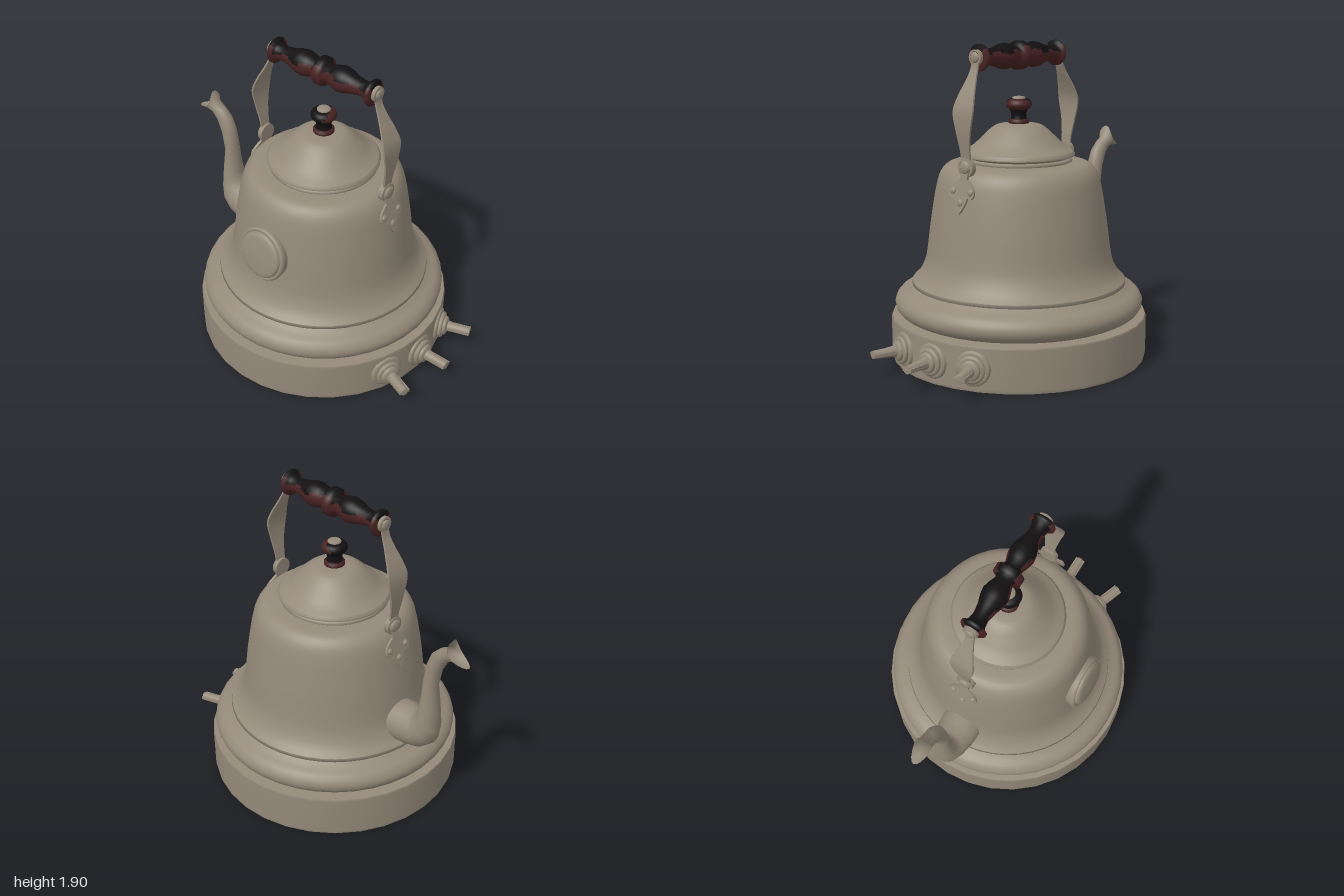
import * as THREE from 'three';
import { mergeGeometries, toCreasedNormals } from 'three/addons/utils/BufferGeometryUtils.js';

const metal = new THREE.MeshStandardMaterial({ color: 0x948979, side: THREE.DoubleSide });
metal.name = 'warm grey metal';
const wood = new THREE.MeshStandardMaterial({ color: 0x482222 });
wood.name = 'dark red wood';
const black = new THREE.MeshStandardMaterial({ color: 0x121010 });
black.name = 'black lacquer';

const V2 = (p) => p.map(([r, y]) => new THREE.Vector2(r, y));

// Each section is turned separately, so edges between sections stay sharp
const turned = (sections, sides = 32) =>
  mergeGeometries(sections.map((s) => new THREE.LatheGeometry(V2(s), sides)));

// Rounds off a list of profile points
const smooth = (pts, n) => new THREE.SplineCurve(V2(pts)).getPoints(n).map((p) => [Math.max(p.x, 0), p.y]);

function add(parent, name, geometry, material = metal) {
  const mesh = new THREE.Mesh(geometry, material);
  mesh.name = name;
  parent.add(mesh);
  return mesh;
}

// Skins closed rings of points
function loft(rings, capped = false) {
  const n = rings[0].length, index = [];
  for (let i = 0; i < rings.length - 1; i++)
    for (let j = 0; j < n; j++) {
      const a = i * n + j, b = i * n + (j + 1) % n;
      index.push(a, b, a + n, b, b + n, a + n);
    }
  if (capped) {
    const e = (rings.length - 1) * n;
    for (let j = 1; j < n - 1; j++) index.push(0, j + 1, j, e, e + j, e + j + 1);
  }
  const g = new THREE.BufferGeometry();
  g.setAttribute('position', new THREE.Float32BufferAttribute(rings.flat(2), 3));
  g.setIndex(index);
  g.computeVertexNormals();
  return g;
}

// Sorts triangles into two colour groups by a rule on their centre
function twoTone(g, isSecond) {
  const p = g.attributes.position, idx = g.index.array, lists = [[], []];
  for (let i = 0; i < idx.length; i += 3) {
    const t = [idx[i], idx[i + 1], idx[i + 2]];
    const mid = (get) => t.reduce((s, v) => s + get(v), 0) / 3;
    const second = isSecond(mid((v) => p.getX(v)), mid((v) => p.getY(v)), mid((v) => p.getZ(v)));
    lists[second ? 1 : 0].push(...t);
  }
  g.setIndex([...lists[0], ...lists[1]]);
  g.addGroup(0, lists[0].length, 0);
  g.addGroup(lists[0].length, lists[1].length, 1);
  return g;
}

function makeSpout() {
  // outer x, y, inner x, y, half width
  const rows = [
    [-.48, .45, -.44, .70, .13], [-.62, .455, -.58, .70, .125], [-.72, .48, -.64, .695, .11],
    [-.79, .54, -.675, .72, .095], [-.81, .63, -.685, .78, .08], [-.80, .80, -.695, .86, .063],
    [-.785, .93, -.70, .97, .05], [-.81, 1.06, -.715, 1.08, .048], [-.85, 1.14, -.745, 1.16, .045],
    [-.89, 1.175, -.80, 1.215, .042], [-.93, 1.18, -.85, 1.245, .046], [-1, 1.175, -.885, 1.31, .052],
  ];
  const rings = rows.map(([ax, ay, bx, by, w], i) => {
    const dip = i === rows.length - 1 ? 1 : 0;
    return Array.from({ length: 20 }, (_, j) => {
      const t = j / 20 * Math.PI * 2, c = Math.cos(t), s = Math.sin(t);
      return [(ax + bx) / 2 + c * (ax - bx) / 2 + dip * .05 * s * s,
        (ay + by) / 2 + c * (ay - by) / 2 - dip * .015 * s * s, s * w];
    });
  });
  return loft(rings);
}

function makeHandleSide() {
  const side = new THREE.Group();
  // Bent strap: distance from the axis, height, half width
  const path = new THREE.CatmullRomCurve3([
    [.465, 1.19, .035], [.475, 1.28, .034], [.492, 1.4, .052], [.492, 1.52, .074], [.465, 1.6, .06],
    [.42, 1.69, .036], [.39, 1.76, .026], [.383, 1.83, .032],
  ].map((p) => new THREE.Vector3(...p)));
  const rings = path.getPoints(28).map(({ x, y, z }) =>
    [[1, 1], [-1, 1], [-1, -1], [1, -1]].map(([w, d]) => [x + d * .006, y, w * z]));
  add(side, 'handleStrap', toCreasedNormals(loft(rings, true), .7));

  // Leaf shaped mounting plate with rivets
  const leaf = new THREE.Shape();
  leaf.moveTo(-.03, .03);
  leaf.lineTo(-.025, -.07);
  leaf.bezierCurveTo(-.06, -.09, -.1, -.12, -.09, -.16);
  leaf.bezierCurveTo(-.08, -.19, -.05, -.17, -.045, -.18);
  leaf.quadraticCurveTo(-.04, -.22, 0, -.27);
  leaf.quadraticCurveTo(.04, -.22, .045, -.18);
  leaf.bezierCurveTo(.05, -.17, .08, -.19, .09, -.16);
  leaf.bezierCurveTo(.1, -.12, .06, -.09, .025, -.07);
  leaf.lineTo(.03, .03);
  const mount = new THREE.Group();
  mount.name = 'handleMount';
  mount.position.set(.465, 1.2, 0);
  mount.rotation.z = .23;
  side.add(mount);
  const plate = new THREE.ExtrudeGeometry(leaf, { depth: .014, bevelEnabled: false, curveSegments: 6 });
  add(mount, 'mountPlate', plate.rotateY(Math.PI / 2));
  for (const [y, z] of [[-.14, .065], [-.14, -.065], [-.205, 0]]) {
    const rivet = add(mount, 'rivet', new THREE.SphereGeometry(.02, 12, 8));
    rivet.scale.x = .6;
    rivet.position.set(.014, y, z);
  }

  // Pivot discs at both ends of the strap
  const disc = (r, t) => turned([[[0, -t], [r, -t]], [[r, -t], [r, t * .5]],
    [[r, t * .5], [r * .75, t * .6]], smooth([[r * .7, t * .6], [r * .5, t * 1.2], [0, t * 1.4]], 6)], 20).rotateZ(-Math.PI / 2);
  add(side, 'lowerPivot', disc(.056, .021)).position.set(.47, 1.2, 0);
  add(side, 'upperPivot', disc(.045, .016)).position.set(.383, 1.815, 0);
  return side;
}

export function createModel() {
  const model = new THREE.Group();
  const pot = new THREE.Group();
  pot.name = 'kettle';
  pot.position.x = .025;
  model.add(pot);

  // Stove base and kettle body
  add(pot, 'base', turned([
    [[0, 0], [.77, 0]], [[.77, 0], [.775, .02], [.775, .25], [.77, .262]], [[.77, .262], [.69, .267]],
  ]));
  add(pot, 'bulge', turned([smooth([[.69, .265], [.725, .285], [.748, .32], [.748, .36], [.72, .40],
    [.675, .425], [.64, .45]], 18)], 40));
  add(pot, 'body', turned([
    [[.63, .445], [.648, .45], [.645, .47]],
    smooth([[.645, .47], [.602, .515], [.567, .59], [.55, .68], [.535, .8], [.515, .93], [.495, 1.04],
      [.475, 1.11], [.445, 1.155], [.40, 1.18], [.31, 1.187]], 30),
  ], 48));

  // Lid
  add(pot, 'lid', turned([
    [[.31, 1.18], [.322, 1.19], [.318, 1.205], [.30, 1.208]],
    [[.30, 1.208], [.335, 1.222]], [[.335, 1.222], [.337, 1.232], [.325, 1.248]],
    smooth([[.325, 1.248], [.27, 1.283], [.21, 1.34], [.16, 1.385], [.11, 1.407], [0, 1.413]], 20),
  ], 40));
  const knob = turned([
    [[.05, 1.405], [.062, 1.412], [.062, 1.43], [.048, 1.437]],
    smooth([[.048, 1.437], [.045, 1.46], [.052, 1.488], [.074, 1.51], [.076, 1.53], [.058, 1.553], [0, 1.56]], 20),
  ], 24);
  twoTone(knob, (x, y, z) => y > 1.437 && (y < 1.495 || x - z * .6 < .02 + .02 * Math.sin(y * 90)));
  add(pot, 'lidKnob', knob, [wood, black]);
  add(pot, 'knobCap', turned([smooth([[.04, 1.553], [.036, 1.567], [0, 1.573]], 6)], 16));

  // Spout
  add(pot, 'spout', makeSpout()).position.x = -.025;

  // Turned grip, black on its upper side
  const half = [[.02, .085], [.028, .062], [.05, .053], [.09, .067], [.13, .077], [.17, .072],
    [.22, .056], [.28, .045], [.32, .05], [.337, .06], [.345, .077], [.358, .078], [.37, .066], [.372, 0]];
  const profile = [...half.slice().reverse().map(([x, r]) => [r, -x]), ...half.map(([x, r]) => [r, x])];
  const grip = new THREE.LatheGeometry(V2(profile), 48).rotateZ(-Math.PI / 2);
  twoTone(grip, (x, y, z) => {
    const angle = Math.abs(Math.atan2(z, y)), a = Math.abs(x);
    if (a > .335 || a < .028) return angle < .75;
    return angle < 1.12 + .25 * Math.cos(a * 38) + (x < 0 ? .12 : 0);
  });
  add(pot, 'grip', grip, [wood, black]).position.y = 1.812;

  // Straps on both sides
  for (const s of [0, 1]) {
    const side = makeHandleSide();
    side.name = s ? 'rightHandleSide' : 'leftHandleSide';
    side.rotation.y = s * Math.PI;
    pot.add(side);
  }

  // Round gauge on the front
  const gauge = turned([
    [[.155, -.07], [.166, -.02]], smooth([[.166, -.02], [.168, 0], [.158, .014], [.146, .01]], 8),
    smooth([[.146, .008], [.138, .026], [.10, .036], [0, .042]], 12),
  ], 40).rotateX(Math.PI / 2);
  const g = add(pot, 'gauge', gauge);
  g.position.set(0, .83, .548);
  g.rotation.x = -.16;

  // Three control taps around the left side of the base
  const tap = turned([
    smooth([[.105, -.04], [.103, .012], [.085, .022]], 6), [[.085, .022], [.078, .022]],
    smooth([[.078, .022], [.082, .036], [.07, .046], [.06, .046]], 8),
    smooth([[.06, .046], [.056, .062], [.034, .07]], 6),
    [[.034, .07], [.027, .13], [.024, .21]], [[.024, .21], [0, .212]],
  ], 24).rotateZ(-Math.PI / 2);
  for (const i of [-1, 0, 1]) {
    const arm = new THREE.Group();
    arm.name = 'tapArm';
    arm.rotation.y = i * .35;
    pot.add(arm);
    add(arm, 'tap', tap).position.set(.763, .135, 0);
    add(arm, 'tapBlade', new THREE.BoxGeometry(.13, .02, .066)).position.set(.908, .135, 0);
  }
  return model;
}
